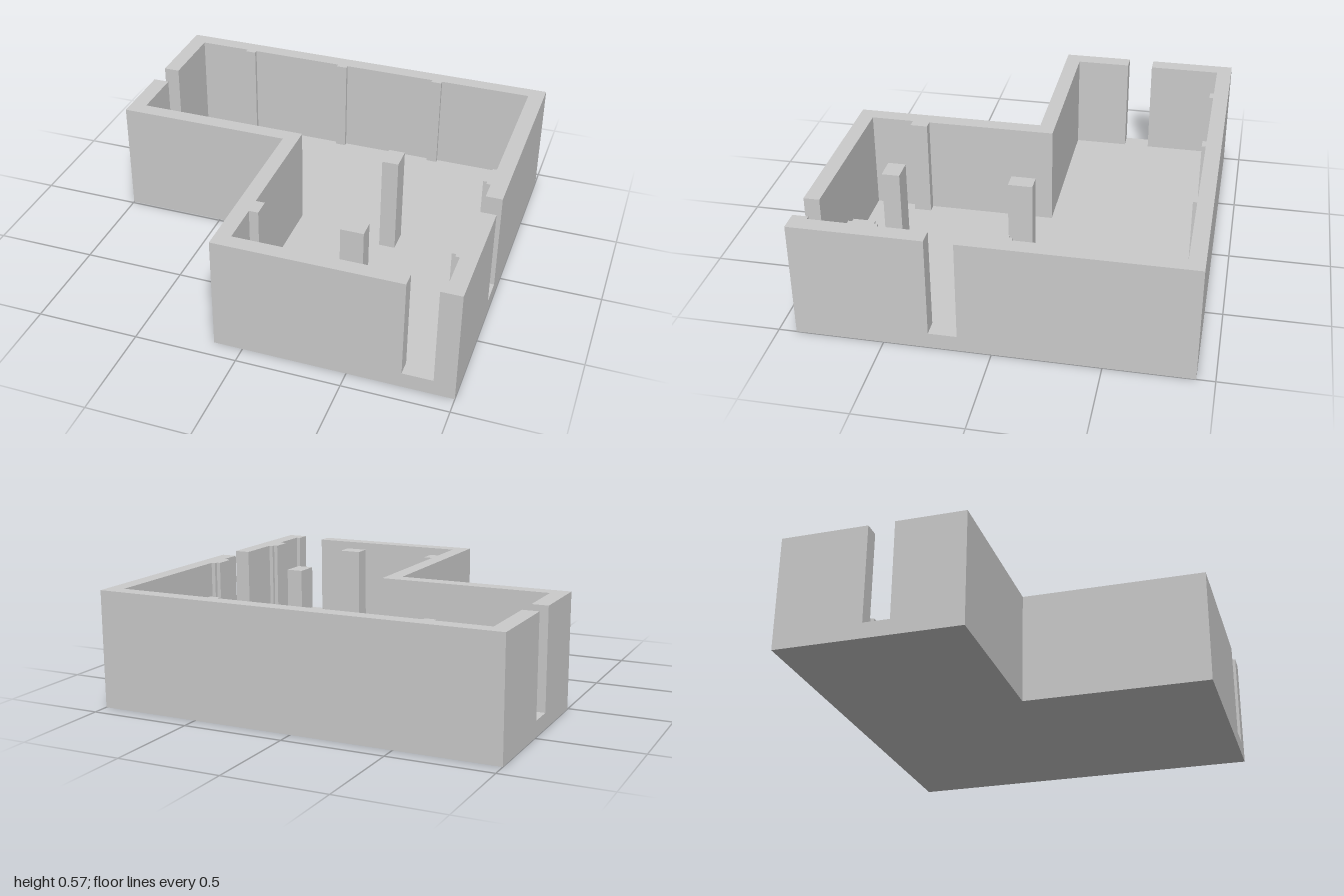
import * as THREE from 'three';

const FLOOR = 0.077, TOP = 0.57;
const material = new THREE.MeshStandardMaterial({ color: 0xcccccc, flatShading: true });

// Raises a plan outline of [x, z] corners from y0 to y1
function raise(name, plan, y0, y1) {
  const shape = new THREE.Shape(plan.map(([x, z]) => new THREE.Vector2(x, -z)));
  const geometry = new THREE.ExtrudeGeometry(shape, { depth: y1 - y0, bevelEnabled: false });
  geometry.rotateX(-Math.PI / 2).translate(0, y0, 0);
  const mesh = new THREE.Mesh(geometry, material);
  mesh.name = name;
  return mesh;
}

// Shallow pier on the back wall, walked towards +x
const backPier = (x) => [[x - 0.027, -0.84], [x - 0.027, -0.82], [x + 0.027, -0.82], [x + 0.027, -0.84]];

// Stepped pier on the right-hand (+x) wall, walked towards +z
const steppedPier = (z) => [
  [0.92, z - 0.068], [0.9, z - 0.068], [0.9, z - 0.05], [0.88, z - 0.05],
  [0.88, z + 0.05], [0.9, z + 0.05], [0.9, z + 0.068], [0.92, z + 0.068],
];

const rect = (x0, x1, z0, z1) => [[x0, z0], [x1, z0], [x1, z1], [x0, z1]];

export function createModel() {
  const group = new THREE.Group();
  group.name = 'lShapedRoom';

  // L-shaped floor slab
  group.add(raise('floor', [
    [-1, -0.915], [1, -0.915], [1, 0.915], [-0.14, 0.915], [-0.14, -0.01], [-1, -0.01],
  ], 0, FLOOR));

  // Back wall with both returns, from the left doorway to the right doorway
  group.add(raise('backWall', [
    [-1, -0.485], [-0.92, -0.485], [-0.92, -0.84],
    ...[-0.633, -0.1, 0.43].flatMap(backPier),
    [0.92, -0.84], ...steppedPier(-0.015), [0.92, 0.157],
    [1, 0.157], [1, -0.915], [-1, -0.915],
  ], FLOOR, TOP));

  // Corner wall between the side and front doorways
  group.add(raise('cornerWall', [
    [1, 0.29], [0.92, 0.29], ...steppedPier(0.588),
    [0.92, 0.84], [0.9, 0.84], [0.9, 0.915], [1, 0.915],
  ], FLOOR, TOP));

  // Front wall, inner corner of the L and the short end beside the far doorway
  group.add(raise('frontWall', [
    [0.755, 0.915], [0.755, 0.84], [-0.065, 0.84],
    [-0.065, 0.63], [-0.02, 0.63], [-0.02, 0.545], [-0.065, 0.545],
    [-0.065, -0.085], [-0.92, -0.085], [-0.92, -0.355], [-1, -0.355],
    [-1, -0.01], [-0.14, -0.01], [-0.14, 0.915],
  ], FLOOR, TOP));

  // Free-standing columns
  group.add(raise('middleColumn', rect(0.385, 0.465, -0.085, 0.03), FLOOR, TOP));
  group.add(raise('frontColumn', rect(0.37, 0.48, 0.545, 0.63), FLOOR, TOP));

  return group;
}
